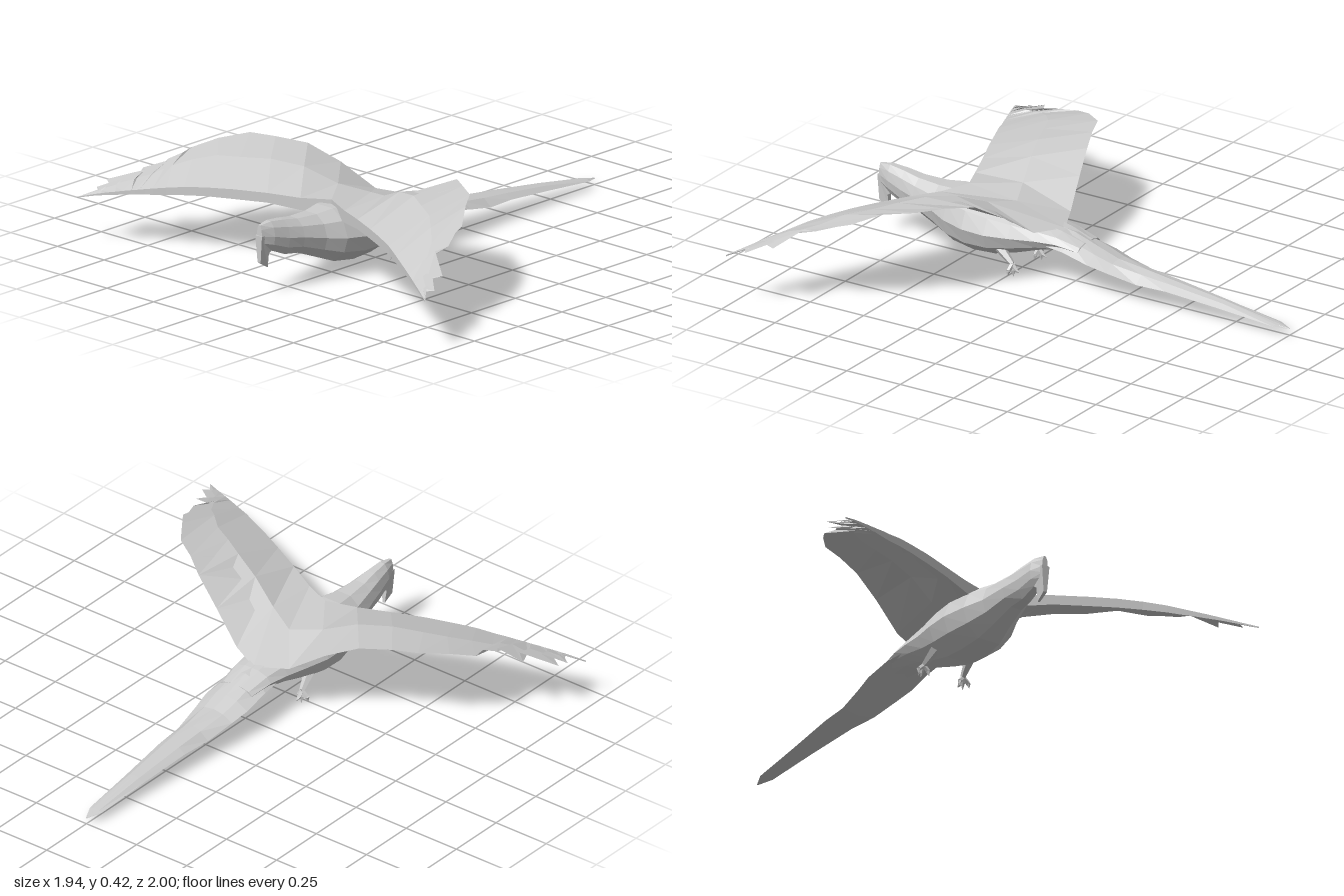
import * as THREE from 'three';

const material = new THREE.MeshStandardMaterial({
  color: 0xcccccc, flatShading: true, side: THREE.DoubleSide,
});

// Skin a series of closed rings, each an array of [x, y, z], and cap both ends
function loft(name, rings) {
  const n = rings[0].length, pos = [];
  const tri = (a, b, c) => pos.push(...a, ...b, ...c);
  for (let i = 0; i < rings.length - 1; i++) {
    for (let j = 0; j < n; j++) {
      const k = (j + 1) % n, p = rings[i], q = rings[i + 1];
      tri(p[j], q[j], p[k]);
      tri(p[k], q[j], q[k]);
    }
  }
  const first = rings[0], last = rings[rings.length - 1];
  for (let j = 1; j < n - 1; j++) {
    tri(first[0], first[j], first[j + 1]);
    tri(last[0], last[j + 1], last[j]);
  }
  const geo = new THREE.BufferGeometry();
  geo.setAttribute('position', new THREE.Float32BufferAttribute(pos, 3));
  geo.computeVertexNormals();
  const mesh = new THREE.Mesh(geo, material);
  mesh.name = name;
  return mesh;
}

// Cross-section shapes: x as a share of half width, y as a share of height
const BODY = [[1, 0.5], [0.8, 0.8], [0.35, 0.98], [-0.35, 0.98], [-0.8, 0.8], [-1, 0.5], [-0.85, 0.22], [-0.4, 0], [0.4, 0], [0.85, 0.22]];
const TAIL = [[1, 0.2], [0.5, 0.8], [0, 1], [-0.5, 0.8], [-1, 0.2], [-0.5, 0.1], [0, 0], [0.5, 0.1]];

// Stations are [z, half width, bottom, top]
const alongZ = (name, shape, stations) => loft(name, stations.map(([z, w, lo, hi]) =>
  shape.map(([u, v]) => [u * w, lo + v * (hi - lo), z])));

// Wing stations: [lead x, z, y, lead thickness, trail x, z, y, camber]
function wing(name, side, stations) {
  return loft(name, stations.map(([lx, lz, ly, t, tx, tz, ty, c]) => {
    const mid = (f, dy) => [side * (lx + (tx - lx) * f), ly + (ty - ly) * f + dy, lz + (tz - lz) * f];
    const ring = [mid(0, 0), mid(0.5, c), mid(1, 0), mid(0.5, c - 0.3 * t - 0.005), mid(0.12, -t * 0.8), mid(0, -t)];
    return side > 0 ? ring : ring.reverse();
  }));
}

// Tapered rod between two points
function rod(name, a, b, r0, r1) {
  const from = new THREE.Vector3(...a), to = new THREE.Vector3(...b);
  const dir = to.clone().sub(from);
  const mesh = new THREE.Mesh(new THREE.CylinderGeometry(r1, r0, dir.length(), 5), material);
  mesh.position.copy(from).add(to).multiplyScalar(0.5);
  mesh.quaternion.setFromUnitVectors(new THREE.Vector3(0, 1, 0), dir.normalize());
  mesh.name = name;
  return mesh;
}

function leg(side) {
  const group = new THREE.Group();
  group.name = side > 0 ? 'leftLeg' : 'rightLeg';
  const ankle = [side * 0.095, 0.052, 0.235];
  group.add(rod('thigh', [side * 0.075, 0.135, 0.34], ankle, 0.03, 0.011));
  for (const [dx, y, z] of [[-0.02, 0.008, 0.245], [0.005, 0.003, 0.225], [0.027, 0.01, 0.24], [0, 0.022, 0.2]]) {
    const knuckle = [ankle[0] + side * dx * 0.9, 0.03, (z + 0.235) / 2];
    group.add(rod('toe', ankle, knuckle, 0.01, 0.009));
    group.add(rod('claw', knuckle, [ankle[0] + side * dx, y, z], 0.009, 0.001));
  }
  return group;
}

export function createModel() {
  const bird = new THREE.Group();
  bird.name = 'bird';

  // Head, neck and trunk in one skin
  bird.add(alongZ('body', BODY, [
    [0.912, 0.014, 0.2, 0.295], [0.86, 0.036, 0.18, 0.302], [0.79, 0.05, 0.15, 0.295],
    [0.72, 0.065, 0.14, 0.283], [0.62, 0.09, 0.1, 0.28], [0.54, 0.125, 0.068, 0.288],
    [0.44, 0.148, 0.055, 0.285], [0.34, 0.145, 0.06, 0.27], [0.24, 0.125, 0.085, 0.25],
    [0.13, 0.108, 0.12, 0.232], [0.04, 0.095, 0.14, 0.216], [-0.06, 0.08, 0.14, 0.185],
  ]));

  // Long tapering tail
  bird.add(alongZ('tail', TAIL, [
    [0.1, 0.09, 0.145, 0.225], [0, 0.1, 0.145, 0.208], [-0.12, 0.104, 0.122, 0.168],
    [-0.2, 0.092, 0.105, 0.142], [-0.33, 0.075, 0.076, 0.127], [-0.46, 0.064, 0.078, 0.11],
    [-0.7, 0.045, 0.056, 0.08], [-0.94, 0.03, 0.035, 0.042], [-1, 0.003, 0.028, 0.031],
  ]));

  // Hooked beak
  const hook = new THREE.Shape([[0.84, 0.25], [0.84, 0.19], [0.872, 0.17], [0.87, 0.112], [0.914, 0.14], [0.917, 0.25]]
    .map(([z, y]) => new THREE.Vector2(-z, y)));
  const beakGeo = new THREE.ExtrudeGeometry(hook, { depth: 0.036, bevelEnabled: false });
  beakGeo.rotateY(Math.PI / 2).translate(-0.018, 0, 0);
  // Narrow the beak towards its tip
  const p = beakGeo.attributes.position;
  for (let i = 0; i < p.count; i++) {
    p.setX(i, p.getX(i) * THREE.MathUtils.clamp((p.getY(i) - 0.09) / 0.11, 0.3, 1));
  }
  beakGeo.computeVertexNormals();
  const beak = new THREE.Mesh(beakGeo, material);
  beak.name = 'beak';
  bird.add(beak);

  // Wings with ragged feather tips; the left is raised and swept a little further
  bird.add(wing('leftWing', 1, [
    [0, 0.5, 0.3, 0.06, 0, 0.05, 0.215, 0.02], [0.12, 0.555, 0.295, 0.05, 0.13, 0.11, 0.225, 0.045],
    [0.25, 0.62, 0.304, 0.04, 0.27, 0.16, 0.325, 0.05], [0.38, 0.685, 0.308, 0.04, 0.4, 0.21, 0.405, 0.035],
    [0.48, 0.735, 0.308, 0.038, 0.5, 0.285, 0.418, 0.025], [0.57, 0.78, 0.303, 0.035, 0.6, 0.35, 0.42, 0.02],
    [0.65, 0.825, 0.292, 0.03, 0.68, 0.46, 0.415, 0.015], [0.71, 0.857, 0.28, 0.025, 0.755, 0.56, 0.375, 0.01],
    [0.74, 0.873, 0.274, 0.022, 0.765, 0.61, 0.36, 0.008], [0.76, 0.884, 0.27, 0.02, 0.805, 0.69, 0.335, 0.006],
    [0.79, 0.9, 0.264, 0.018, 0.79, 0.75, 0.325, 0.005], [0.83, 0.922, 0.255, 0.014, 0.9, 0.825, 0.265, 0.004],
    [0.85, 0.933, 0.25, 0.012, 0.845, 0.83, 0.28, 0.003], [0.89, 0.955, 0.241, 0.01, 0.95, 0.925, 0.24, 0.002],
    [0.91, 0.966, 0.236, 0.008, 0.905, 0.92, 0.25, 0.002], [0.97, 1, 0.222, 0.003, 0.969, 0.998, 0.222, 0],
  ]));
  bird.add(wing('rightWing', -1, [
    [0, 0.5, 0.3, 0.06, 0, 0.05, 0.215, 0.02], [0.12, 0.55, 0.292, 0.05, 0.13, 0.11, 0.225, 0.04],
    [0.25, 0.6, 0.295, 0.04, 0.27, 0.16, 0.315, 0.045], [0.38, 0.655, 0.294, 0.04, 0.4, 0.21, 0.375, 0.03],
    [0.49, 0.7, 0.288, 0.036, 0.52, 0.265, 0.388, 0.02], [0.57, 0.735, 0.28, 0.034, 0.62, 0.305, 0.392, 0.018],
    [0.64, 0.763, 0.268, 0.03, 0.7, 0.4, 0.373, 0.014], [0.69, 0.787, 0.259, 0.026, 0.76, 0.49, 0.343, 0.01],
    [0.72, 0.8, 0.253, 0.022, 0.75, 0.55, 0.338, 0.008], [0.74, 0.81, 0.249, 0.02, 0.78, 0.6, 0.318, 0.006],
    [0.755, 0.817, 0.246, 0.018, 0.765, 0.62, 0.318, 0.005], [0.77, 0.823, 0.243, 0.018, 0.865, 0.655, 0.275, 0.005],
    [0.8, 0.838, 0.237, 0.015, 0.82, 0.69, 0.285, 0.004], [0.83, 0.852, 0.23, 0.013, 0.952, 0.77, 0.235, 0.003],
    [0.85, 0.862, 0.226, 0.011, 0.865, 0.77, 0.258, 0.003], [0.88, 0.876, 0.219, 0.009, 0.95, 0.83, 0.218, 0.002],
    [0.9, 0.886, 0.214, 0.007, 0.89, 0.84, 0.235, 0.002], [0.97, 0.92, 0.194, 0.003, 0.969, 0.918, 0.194, 0],
  ]));

  bird.add(leg(1), leg(-1));
  return bird;
}
